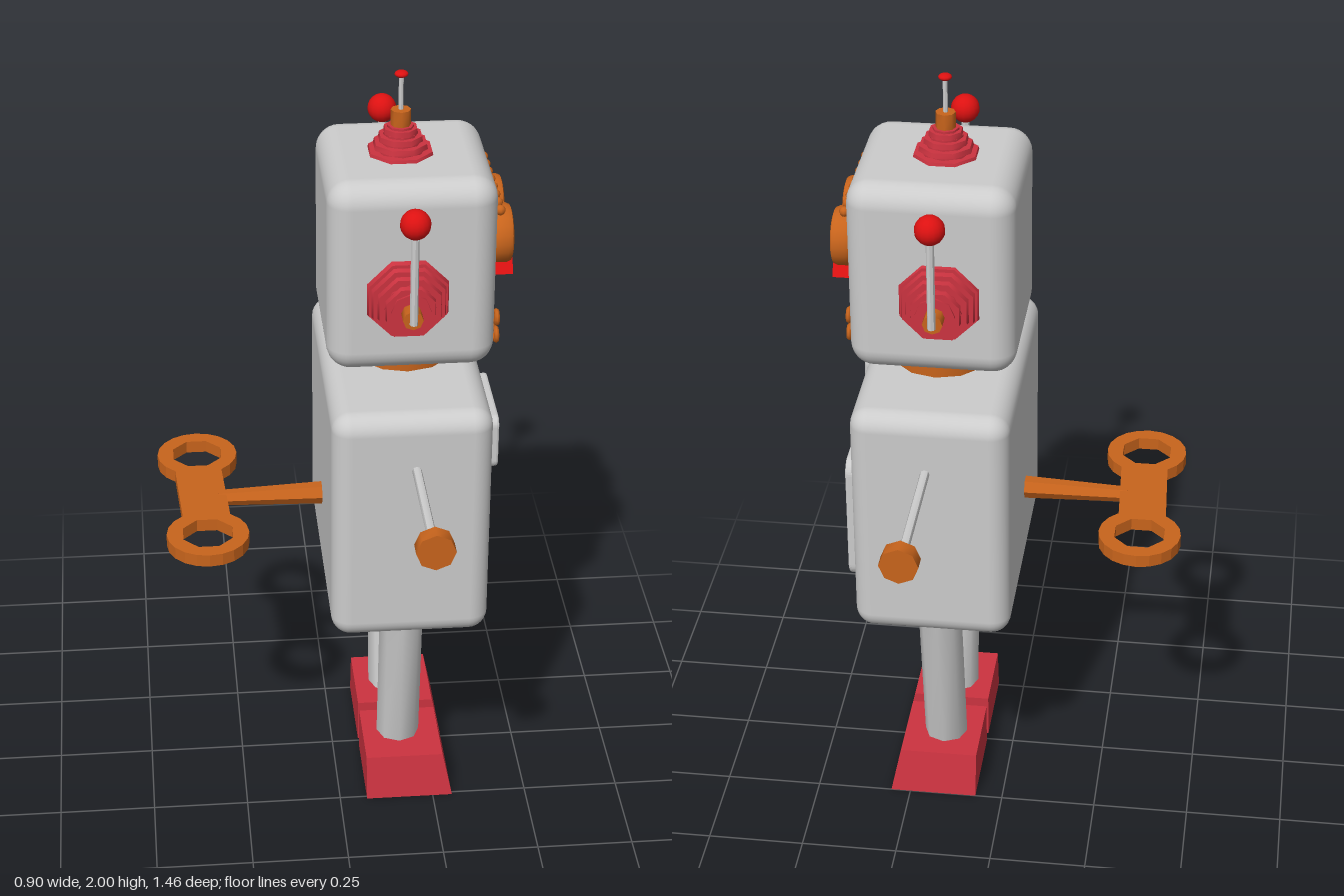
import * as THREE from 'three';
import { RoundedBoxGeometry } from 'three/addons/geometries/RoundedBoxGeometry.js';
import { toCreasedNormals } from 'three/addons/utils/BufferGeometryUtils.js';

const mat = (color) => new THREE.MeshStandardMaterial({ color });
const GREY = mat(0xcccccc), ORANGE = mat(0xc8641c), RED = mat(0xcc3340), BRIGHT = mat(0xdd1111);
const V = (x, y, z) => new THREE.Vector3(x, y, z);

export function createModel() {
  const robot = new THREE.Group();

  const add = (name, geo, material, x = 0, y = 0, z = 0, parent = robot) => {
    const m = new THREE.Mesh(geo, material);
    m.name = name;
    m.position.set(x, y, z);
    parent.add(m);
    return m;
  };
  // Cylinder between two points
  const rod = (name, a, b, r, material, sides = 8, r2 = r, parent = robot) => {
    const geo = toCreasedNormals(new THREE.CylinderGeometry(r2, r, a.distanceTo(b), sides), 0.9);
    const m = add(name, geo, material, 0, 0, 0, parent);
    m.position.copy(a).lerp(b, 0.5);
    m.quaternion.setFromUnitVectors(V(0, 1, 0), b.clone().sub(a).normalize());
    return m;
  };
  // Flat plate facing +x, its shape drawn as (-z, y)
  const plate = (name, shape, x0, x1, material, bevel = 0) => {
    const geo = new THREE.ExtrudeGeometry(shape, {
      depth: x1 - x0 - bevel, bevelEnabled: bevel > 0, bevelSize: bevel, bevelOffset: -bevel,
      bevelThickness: bevel, bevelSegments: 2, curveSegments: 5,
    });
    geo.rotateY(Math.PI / 2);
    return add(name, geo, material, x0, 0, 0);
  };
  const roundedRect = (x0, y0, x1, y1, r) => {
    const s = new THREE.Shape();
    s.absarc(x1 - r, y0 + r, r, -Math.PI / 2, 0);
    s.absarc(x1 - r, y1 - r, r, 0, Math.PI / 2);
    s.absarc(x0 + r, y1 - r, r, Math.PI / 2, Math.PI);
    s.absarc(x0 + r, y0 + r, r, Math.PI, Math.PI * 1.5);
    s.closePath();
    return s;
  };
  // Stepped stack of octagonal discs along +y, with a small socket on top
  const discStack = (name, radii, height) => {
    const g = new THREE.Group();
    g.name = name;
    const step = height / radii.length;
    radii.forEach((r, i) => {
      const y = i * step;
      rod('disc', V(0, y, 0), V(0, y + step * 0.7, 0), r, RED, 8, r * 0.96, g).rotation.y = Math.PI / 8;
      rod('spacer', V(0, y, 0), V(0, y + step, 0), r * 0.75, RED, 8, r * 0.75, g);
    });
    rod('socket', V(0, height, 0), V(0, height + 0.04, 0), 0.025, ORANGE, 8, 0.025, g);
    robot.add(g);
    return g;
  };

  // Torso, neck and head
  add('torso', new RoundedBoxGeometry(0.4, 0.645, 0.695, 4, 0.05), GREY, 0.17, 0.9125, 0.01);
  rod('neck', V(0.18, 1.22, -0.005), V(0.18, 1.3, -0.005), 0.125, ORANGE, 12);
  add('head', new RoundedBoxGeometry(0.415, 0.505, 0.43, 4, 0.06), GREY, 0.178, 1.5375, 0.005);

  // Chest panels
  plate('smallChestPanel', roundedRect(-0.29, 1.04, -0.035, 1.185, 0.025), 0.36, 0.39, GREY, 0.006);
  plate('largeChestPanel', roundedRect(-0.105, 0.69, 0.25, 1.04, 0.04), 0.36, 0.397, GREY, 0.008);

  // Ears with antennae
  for (const [s, base, tip, x] of [[1, 0.22, 0.35, 0.165], [-1, 0.205, 0.335, 0.155]]) {
    const ear = discStack('ear', [0.108, 0.098, 0.084, 0.066], tip - base - 0.05);
    ear.position.set(x, 1.495, s * base);
    ear.rotation.x = s * Math.PI / 2;
    rod('earAntenna', V(x, 1.49, s * tip), V(x, 1.74, s * tip), 0.01, GREY);
    add('antennaBall', new THREE.SphereGeometry(0.037, 16, 12), BRIGHT, x, 1.755, s * tip);
  }

  // Crown antenna
  discStack('crown', [0.085, 0.07, 0.057, 0.044], 0.075).position.set(0.165, 1.785, 0.01);
  rod('crownAntenna', V(0.165, 1.89, 0.01), V(0.165, 1.99, 0.01), 0.006, GREY);
  add('crownBall', new THREE.SphereGeometry(0.017, 12, 8), BRIGHT, 0.165, 1.991, 0.01).scale.y = 0.5;

  // Eyes: thick rims around a pale lens
  const rim = [[0.056, 0], [0.07, 0], [0.074, 0.012], [0.074, 0.036], [0.069, 0.047], [0.06, 0.05], [0.056, 0.045], [0.056, 0]];
  const rimGeo = toCreasedNormals(new THREE.LatheGeometry(rim.map(([r, y]) => new THREE.Vector2(r, y)), 20), 0.7);
  for (const z of [0.087, -0.083]) {
    add('eyeRim', rimGeo, ORANGE, 0.382, 1.597, z).rotation.z = -Math.PI / 2;
    rod('eyeLens', V(0.37, 1.597, z), V(0.422, 1.597, z), 0.058, GREY, 20);
  }

  // Nose
  const nose = new THREE.Shape([[-0.037, 1.455], [0.04, 1.455], [0.001, 1.523]].map((p) => new THREE.Vector2(...p)));
  plate('nose', nose, 0.375, 0.45, BRIGHT);

  // Brow studs and mouth rings
  for (let i = 0; i < 8; i++) {
    add('browStud', new THREE.SphereGeometry(0.013, 8, 6), ORANGE, 0.392, 1.695, 0.165 - i * 0.0445);
  }
  const mouthRing = (y, z) => {
    add('mouthRing', new THREE.TorusGeometry(0.015, 0.007, 6, 12), ORANGE, 0.392, y, z).rotation.y = Math.PI / 2;
  };
  for (let i = 0; i < 6; i++) mouthRing(1.355, 0.163 - i * 0.0592);
  for (const z of [0.163, -0.133]) mouthRing(1.403, z);

  // Arms with end caps
  for (const [s, y0, y1] of [[1, 1.087, 1.088], [-1, 1.08, 1.07]]) {
    rod('arm', V(0.178, y0, s * 0.3), V(0.18, y1, s * 0.7), 0.012, GREY);
    rod('hand', V(0.182, y1, s * 0.69), V(0.182, y1, s * 0.73), 0.048, ORANGE);
  }

  // Legs
  rod('leftLeg', V(0.168, 0.08, 0.108), V(0.168, 0.64, 0.17), 0.057, GREY, 8);
  rod('rightLeg', V(0.168, 0.08, -0.112), V(0.168, 0.64, -0.21), 0.057, GREY, 8);

  // Feet: boxes narrowed at the top on the toe and outer sides
  for (const [s, inner, outer] of [[1, 0.025, 0.26], [-1, 0.01, 0.25]]) {
    const geo = new THREE.BoxGeometry(0.23, 0.12, outer - inner);
    const p = geo.attributes.position;
    for (let i = 0; i < p.count; i++) {
      if (p.getY(i) < 0) continue;
      if (p.getX(i) > 0) p.setX(i, p.getX(i) - 0.025);
      if (p.getZ(i) * s > 0) p.setZ(i, p.getZ(i) - s * 0.022);
    }
    geo.computeVertexNormals();
    add('foot', geo, RED, 0.187, 0.06, s * (inner + outer) / 2);
  }

  // Wind-up key: two ringed lobes joined by a bar, drawn as (x, -z)
  const key = new THREE.Shape();
  const a = 0.62;
  key.absarc(-0.347, 0.18, 0.105, -Math.PI / 2 + a, Math.PI * 1.5 - a, false);
  key.absarc(-0.335, -0.215, 0.105, Math.PI / 2 + a, Math.PI * 2.5 - a, false);
  key.closePath();
  for (const [x, y] of [[-0.347, 0.18], [-0.335, -0.215]]) {
    const hole = new THREE.Path();
    for (let i = 0; i < 8; i++) {
      const t = -(i + 0.5) * Math.PI / 4;
      hole[i ? 'lineTo' : 'moveTo'](x + 0.068 * Math.cos(t), y + 0.068 * Math.sin(t));
    }
    hole.closePath();
    key.holes.push(hole);
  }
  const keyGeo = new THREE.ExtrudeGeometry(key, { depth: 0.033, bevelEnabled: false, curveSegments: 8 });
  keyGeo.rotateX(-Math.PI / 2);
  add('keyHandle', keyGeo, ORANGE, 0, 0.81, 0);
  rod('keyShaft', V(0, 0.83, 0.022), V(-0.3, 0.827, 0.022), 0.03, ORANGE, 6, 0.02);

  return robot;
}
